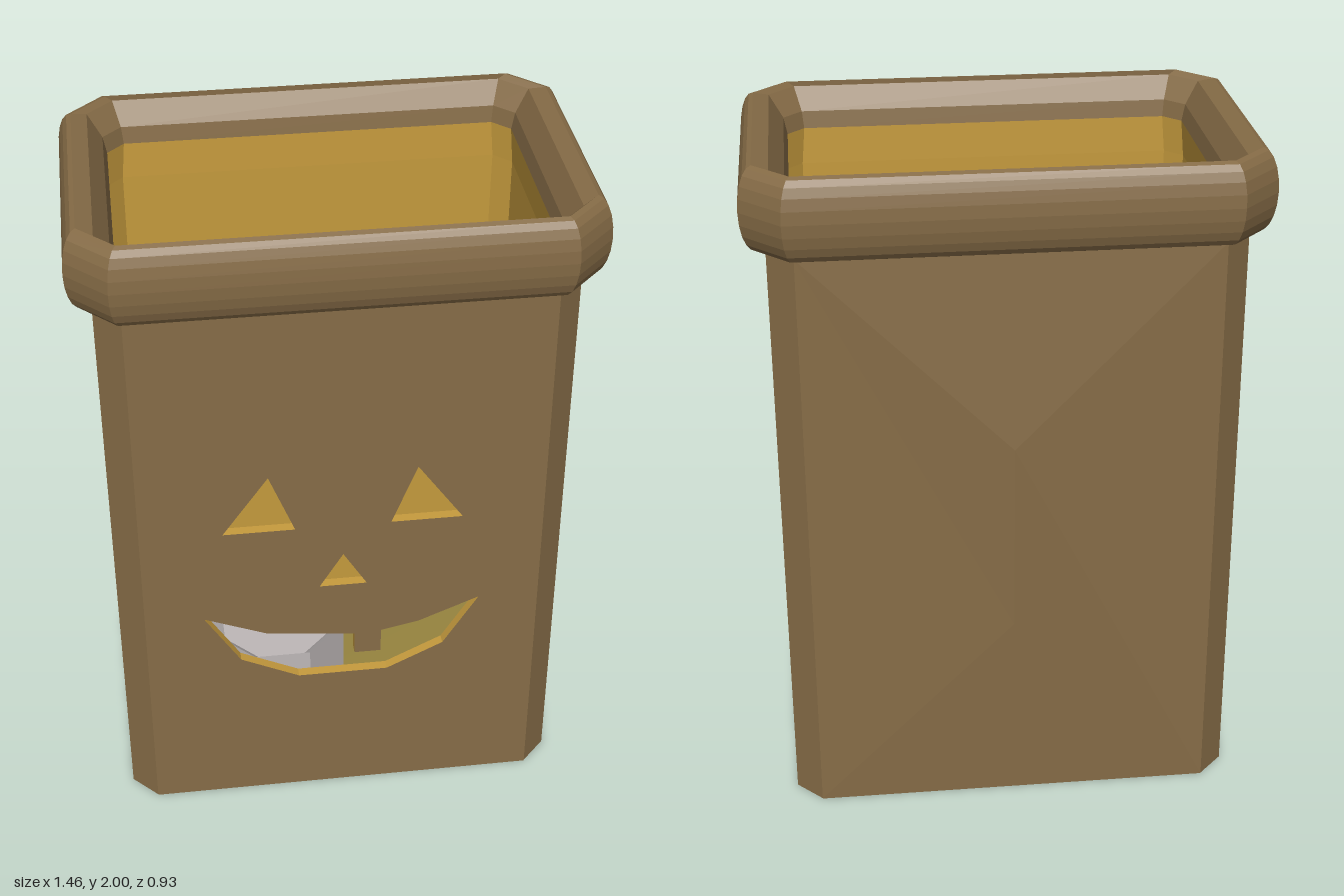
import * as THREE from 'three';

const H = 1.76; // height where the rolled rim starts

function material(name, color) {
  const m = new THREE.MeshStandardMaterial({ color });
  m.name = name;
  return m;
}

// Chamfered rectangle at height y, as eight points
function oct(x, z, c, y) {
  const a = x - c, b = z - c;
  return [[x, b], [a, z], [-a, z], [-x, b], [-x, -b], [-a, -z], [a, -z], [x, -b]]
    .map(([px, pz]) => [px, y, pz]);
}

// Flat-shaded geometry from a list of triangles
function facets(tris) {
  const g = new THREE.BufferGeometry();
  g.setAttribute('position', new THREE.Float32BufferAttribute(tris.flat(2), 3));
  g.computeVertexNormals();
  return g;
}

// Joins octagon rows; faces lists which of the eight sides to build
function loft(rows, faces = [0, 1, 2, 3, 4, 5, 6, 7]) {
  const tris = [];
  for (let i = 0; i < rows.length - 1; i++) {
    for (const j of faces) {
      const k = (j + 1) % 8, lo = rows[i], hi = rows[i + 1];
      tris.push([lo[j], hi[j], lo[k]], [lo[k], hi[j], hi[k]]);
    }
  }
  return facets(tris);
}

function lathe(points, sides, phase) {
  const g = new THREE.LatheGeometry(points.map(p => new THREE.Vector2(...p)), sides, phase).toNonIndexed();
  g.computeVertexNormals();
  return g;
}

const vectors = pts => pts.map(p => new THREE.Vector2(...p));

export function createModel() {
  const group = new THREE.Group();
  const paper = material('brown paper', 0x856b46);
  const glow = material('warm yellow', 0xc79c3e);
  const floorMat = material('olive yellow', 0x96843f);
  const wax = material('pale wax', 0xbeb8b8);
  const add = (name, geometry, mat) => {
    const m = new THREE.Mesh(geometry, mat);
    m.name = name;
    group.add(m);
    return m;
  };

  // Front panel with the cut-out face
  const panel = new THREE.Shape(vectors([[-0.59, 0], [0.59, 0], [0.59, H], [-0.59, H]]));
  const eye = [[-0.35, 1.02], [-0.14, 1.02], [-0.215, 1.21]];
  const nose = [[-0.07, 0.8], [0.07, 0.8], [0, 0.915]];
  const mouth = [[-0.415, 0.71], [-0.31, 0.54], [-0.135, 0.455], [0.135, 0.455], [0.305, 0.54],
    [0.41, 0.71], [0.23, 0.635], [0.115, 0.61], [0.115, 0.53], [0.035, 0.53], [0.035, 0.605], [-0.23, 0.635]];
  for (const hole of [eye, eye.map(([x, y]) => [-x, y]), nose, mouth]) {
    panel.holes.push(new THREE.Path(vectors(hole)));
  }
  const front = new THREE.ExtrudeGeometry(panel, { depth: 0.03, bevelEnabled: false });
  const caps = front.groups[0].count, total = front.attributes.position.count;
  front.clearGroups();
  front.addGroup(0, caps / 2, 1);            // inner face
  front.addGroup(caps / 2, caps / 2, 0);     // outer face
  front.addGroup(caps, total - caps, 1);     // cut edges
  const pos = front.attributes.position;
  for (let i = 0; i < pos.count; i++) {
    pos.setZ(i, pos.getZ(i) + 0.425 - 0.055 * pos.getY(i) / H);
  }
  front.computeVertexNormals();
  add('frontPanel', front, [paper, glow]);

  // Chamfered corners
  add('bagCorners', loft([oct(0.665, 0.455, 0.077, 0), oct(0.665, 0.4, 0.077, H)], [0, 2, 4, 6]), paper);

  // Side panels, creased inward low down
  const edge = [[0.665, 0, 0.378], [0.665, 0, -0.378], [0.665, H, -0.323], [0.655, H, 0], [0.665, H, 0.323]];
  const dent = [0.638, 0.42, 0];
  const side = facets(edge.map((p, i) => [dent, p, edge[(i + 1) % edge.length]]));
  add('rightPanel', side, paper).rotation.y = Math.PI;
  add('leftPanel', side, paper);

  // Back panel, bulging along a short ridge
  const bl = [0.59, 0, -0.455], br = [-0.59, 0, -0.455], tr = [-0.59, H, -0.4], tl = [0.59, H, -0.4];
  const m1 = [0, 1.18, -0.456], m2 = [0, 0.6, -0.458];
  add('backPanel', facets([[bl, br, m2], [br, tr, m1], [br, m1, m2],
    [tr, tl, m1], [tl, bl, m2], [tl, m2, m1]]), paper);

  // Underside and inner floor
  add('underside', loft([oct(0, 0, 0, 0), oct(0.665, 0.455, 0.077, 0)]), paper);
  add('innerFloor', loft([oct(0.64, 0.43, 0.06, 0.03), oct(0, 0, 0, 0.04)]), floorMat);

  // Inner lining
  const liningTop = oct(0.595, 0.37, 0.05, 1.87), liningMid = oct(0.605, 0.37, 0.05, H);
  add('upperLining', loft([liningTop, liningMid]), glow);
  add('lining', loft([liningMid, oct(0.625, 0.425, 0.06, 0.02)], [0, 2, 3, 4, 5, 6, 7]), glow);

  // Rolled rim
  const rim = [oct(0.6, 0.37, 0.05, H)];
  for (let i = 0; i <= 10; i++) {
    const t = (i / 10 - 0.5) * Math.PI, c = Math.cos(t);
    rim.push(oct(0.69 + 0.042 * c, 0.42 + 0.045 * c, 0.1 + 0.014 * c, 1.88 + 0.12 * Math.sin(t)));
  }
  rim.push(oct(0.645, 0.42, 0.075, 1.985), oct(0.605, 0.378, 0.055, 1.92), oct(0.595, 0.37, 0.05, 1.87));
  add('rolledRim', loft(rim), paper);

  // Candle with a shallow dished top
  const candle = add('candle', lathe([[0.227, 0.03], [0.227, 0.4], [0.2, 0.375], [0.185, 0.36], [0, 0.36]],
    8, Math.PI / 8), wax);
  candle.position.set(-0.17, 0, 0.077);

  // Flame
  const flame = add('flame', lathe([[0.03, 0.36], [0.113, 0.44], [0, 0.72]], 6, 0), glow);
  flame.position.set(-0.17, 0, 0.077);

  return group;
}
